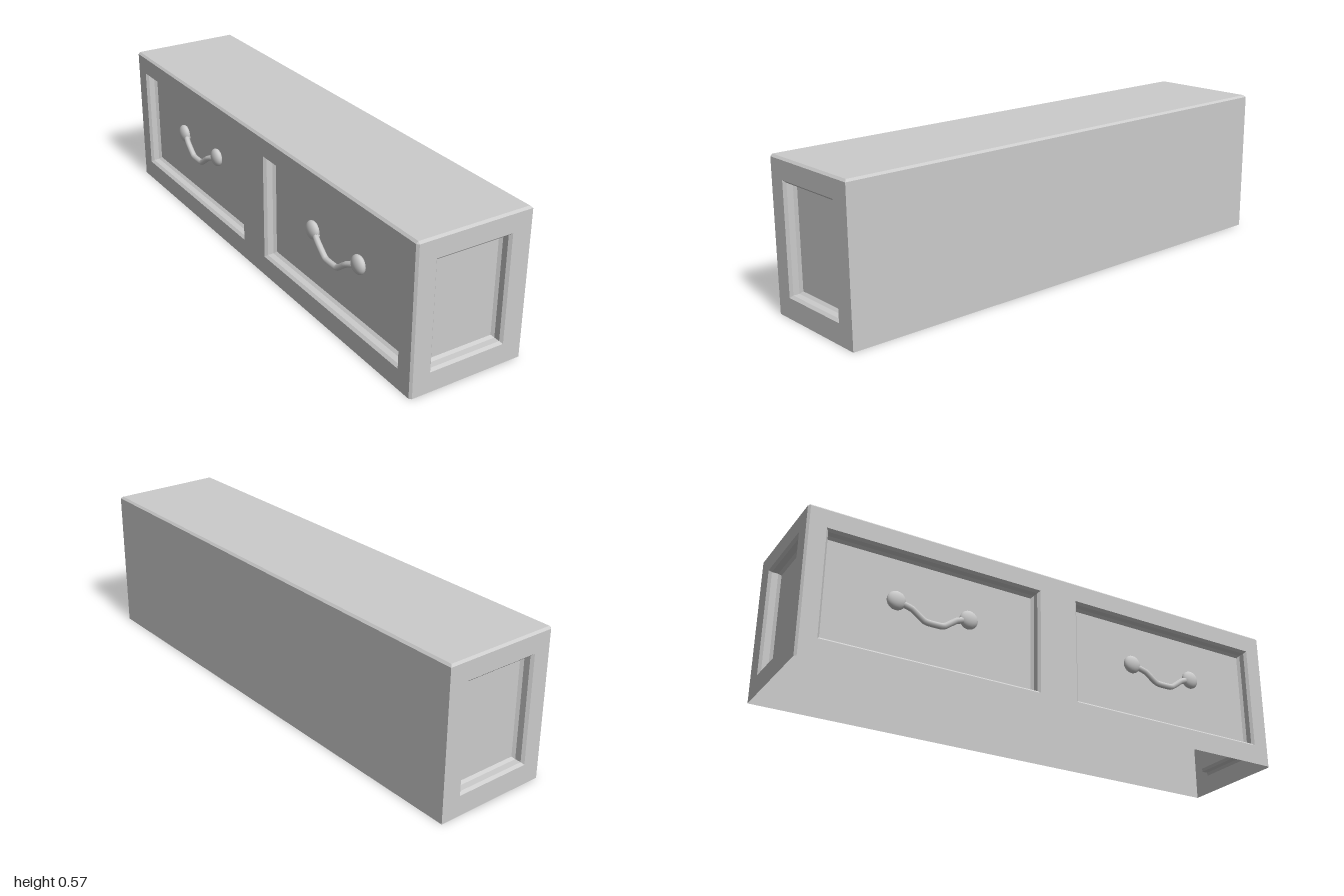
import * as THREE from 'three';

const W = 0.228, H = 0.573, D = 1, C = 0.008; // half width, height, half depth, chamfer
const HOLE_Y0 = 0.078, HOLE_Y1 = 0.496;
// recess moulding: [inset, depth] from the frame face to the sunk panel
const MOULDING = [[0, 0], [0.009, 0.01], [0.009, 0.034], [0.018, 0.044]];
const PANEL_DEPTH = 0.044;

const material = new THREE.MeshStandardMaterial({ color: 0xcccccc, side: THREE.DoubleSide });

function mesh(name, geometry) {
  const m = new THREE.Mesh(geometry, material);
  m.name = name;
  return m;
}

// flat-shaded band of quads joining closed loops of equal point count
function loft(loops) {
  const p = [];
  for (let i = 0; i < loops.length - 1; i++) {
    const a = loops[i], b = loops[i + 1];
    for (let j = 0; j < a.length; j++) {
      const k = (j + 1) % a.length;
      p.push(...a[j], ...a[k], ...b[k], ...a[j], ...b[k], ...b[j]);
    }
  }
  const g = new THREE.BufferGeometry();
  g.setAttribute('position', new THREE.Float32BufferAttribute(p, 3));
  g.computeVertexNormals();
  return g;
}

// anticlockwise rectangle
const rect = (x0, x1, y0, y1) => [[x0, y0], [x1, y0], [x1, y1], [x0, y1]];
const toPoints = (pts) => pts.map(([x, y]) => new THREE.Vector2(x, y));

// wall facing +z, with moulded sunk panels in its openings
function wall(name, x0, x1, openings, panelName) {
  const group = new THREE.Group();
  group.name = name;
  const shape = new THREE.Shape(toPoints(rect(x0, x1, 0, H - C)));
  for (const [a, b] of openings) {
    shape.holes.push(new THREE.Path(toPoints(rect(a, b, HOLE_Y0, HOLE_Y1)).reverse()));
    const loops = MOULDING.map(([i, d]) =>
      rect(a + i, b - i, HOLE_Y0 + i, HOLE_Y1 - i).map(([x, y]) => [x, y, -d]));
    group.add(mesh(panelName + 'Moulding', loft(loops)));
    const inner = loops[loops.length - 1];
    const panel = mesh(panelName, new THREE.ShapeGeometry(new THREE.Shape(toPoints(inner))));
    panel.position.z = -PANEL_DEPTH;
    group.add(panel);
  }
  group.add(mesh(name + 'Frame', new THREE.ShapeGeometry(shape)));
  return group;
}

// two domed knobs with a drooping bail whose ends pass through the panel
function handle() {
  const group = new THREE.Group();
  group.name = 'drawerHandle';
  for (const s of [-1, 1]) {
    const knob = mesh('handleKnob', new THREE.SphereGeometry(1, 20, 12));
    knob.scale.set(0.036, 0.036, 0.02);
    knob.position.set(s * 0.142, 0, 0.008);
    group.add(knob);
  }
  const half = [[0.12, -0.008, -0.012], [0.115, -0.01, 0.012], [0.085, -0.024, 0.02], [0.035, -0.06, 0.022]];
  const path = [...half.map(([x, y, z]) => [-x, y, z]), ...half.slice().reverse()];
  const curve = new THREE.CatmullRomCurve3(path.map((p) => new THREE.Vector3(...p)), false, 'catmullrom', 0.2);
  group.add(mesh('handleBail', new THREE.TubeGeometry(curve, 32, 0.0115, 8)));
  return group;
}

export function createModel() {
  const model = new THREE.Group();
  model.name = 'drawerChest';

  // end walls
  const front = wall('frontEnd', -W + C, W, [[-0.152, 0.152]], 'endPanel');
  front.position.z = D;
  const back = wall('backEnd', -W, W - C, [[-0.152, 0.152]], 'endPanel');
  back.position.z = -D;
  back.rotation.y = Math.PI;

  // drawer side
  const drawers = wall('drawerSide', -D + C, D - C, [[-0.929, -0.078], [0.078, 0.929]], 'drawerPanel');
  for (const s of [-1, 1]) {
    const h = handle();
    h.position.set(s * 0.502, 0.312, -PANEL_DEPTH);
    drawers.add(h);
  }
  drawers.position.x = -W;
  drawers.rotation.y = -Math.PI / 2;

  // plain side
  const plain = wall('plainSide', -D, D, [], '');
  plain.position.x = W;
  plain.rotation.y = Math.PI / 2;
  model.add(front, back, drawers, plain);

  // chamfered vertical corners beside the drawers
  for (const s of [-1, 1]) {
    const corner = mesh('cornerChamfer', new THREE.PlaneGeometry(C * Math.SQRT2, H - C));
    corner.position.set(-W + C / 2, (H - C) / 2, s * (D - C / 2));
    corner.rotation.y = Math.atan2(-1, s);
    model.add(corner);
  }

  // top and its chamfered rim
  const at = (y) => ([x, z]) => [x, y, z];
  const outer = [[W, D], [W, -D], [-W + C, -D], [-W, -D + C], [-W, D - C], [-W + C, D]];
  const a = W - C, b = D - C;
  const inner = [[a, b], [a, -b], [-a, -b], [-a, -b], [-a, b], [-a, b]];
  model.add(mesh('topRim', loft([outer.map(at(H - C)), inner.map(at(H))])));
  const top = mesh('top', new THREE.PlaneGeometry(2 * a, 2 * b));
  top.rotation.x = -Math.PI / 2;
  top.position.y = H;
  model.add(top);

  return model;
}
